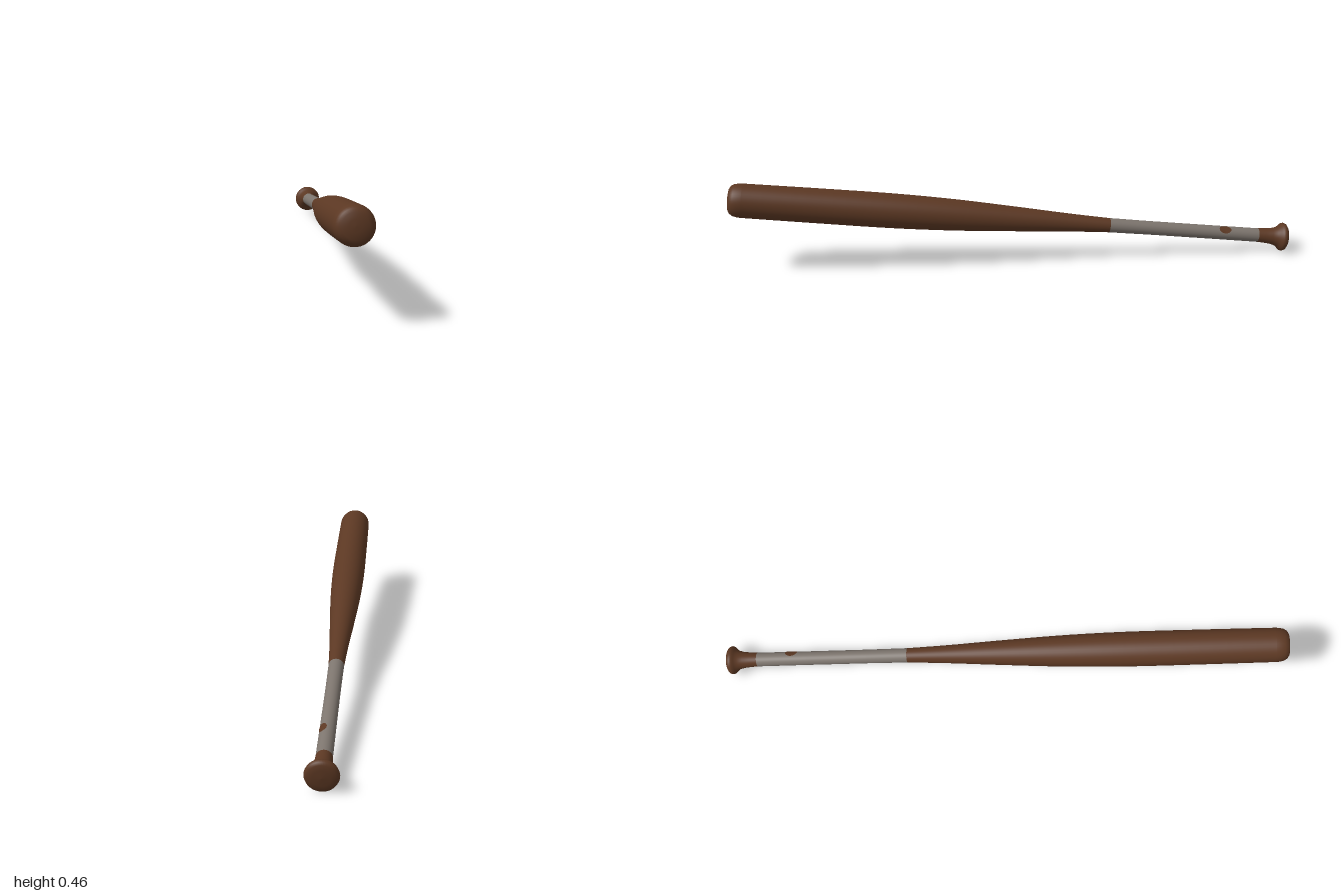
import * as THREE from 'three';

export function createModel() {
  const model = new THREE.Group();
  model.name = 'baseballBat';

  const wood = new THREE.MeshStandardMaterial({ name: 'dark brown wood', color: 0x5c3823 });
  const wrap = new THREE.MeshStandardMaterial({ name: 'grey grip wrap', color: 0x7d756e });

  // The bat is turned around its own y axis, then laid along a sloping diagonal
  const axis = new THREE.Vector3(0.7086, 0.1163, 0.696).normalize();
  const bat = new THREE.Group();
  bat.name = 'bat';
  bat.position.set(-0.965, 0.068, -0.945);
  bat.quaternion.setFromUnitVectors(new THREE.Vector3(0, 1, 0), axis);
  model.add(bat);

  // Turned part from [radius, distance along the bat] pairs
  function turned(name, pairs, material, samples) {
    let points = pairs.map(([r, s]) => new THREE.Vector2(r, s));
    if (samples) points = new THREE.SplineCurve(points).getPoints(samples);
    const mesh = new THREE.Mesh(new THREE.LatheGeometry(points, 40), material);
    mesh.name = name;
    bat.add(mesh);
  }

  // Knob with a slightly domed end, flaring down to the neck
  turned('knob', [
    [0, -0.006], [0.035, -0.004], [0.056, 0], [0.066, 0.007], [0.07, 0.018],
    [0.067, 0.028], [0.058, 0.036], [0.047, 0.05], [0.04, 0.075], [0.036, 0.11], [0.034, 0.145],
  ], wood);

  // Wrapped handle
  turned('grip', [[0.034, 0.145], [0.0335, 0.4], [0.0335, 0.7], [0.035, 0.9]], wrap);

  // Barrel swelling from the handle
  turned('barrel', [
    [0.035, 0.9], [0.044, 1.1], [0.059, 1.35], [0.075, 1.65],
    [0.083, 1.95], [0.083, 2.3], [0.081, 2.66],
  ], wood, 36);

  // Rounded barrel end
  turned('barrelEnd', [
    [0.081, 2.66], [0.08, 2.68], [0.075, 2.7], [0.066, 2.715], [0.052, 2.723], [0.025, 2.727], [0, 2.728],
  ], wood);

  // Small bare patch of wood, a disc curved round the grip
  const facing = new THREE.Vector3(0.42, 0.8, -0.42)
    .applyQuaternion(bat.quaternion.clone().invert());
  const middle = Math.atan2(facing.x, facing.z);
  const patch = new THREE.CircleGeometry(1, 24);
  const p = patch.attributes.position;
  for (let i = 0; i < p.count; i++) {
    const a = middle + p.getX(i) * 0.6;
    p.setXYZ(i, Math.sin(a) * 0.0355, 0.32 + p.getY(i) * 0.03, Math.cos(a) * 0.0355);
  }
  patch.computeVertexNormals();
  const spot = new THREE.Mesh(patch, wood);
  spot.name = 'barePatch';
  bat.add(spot);

  return model;
}
